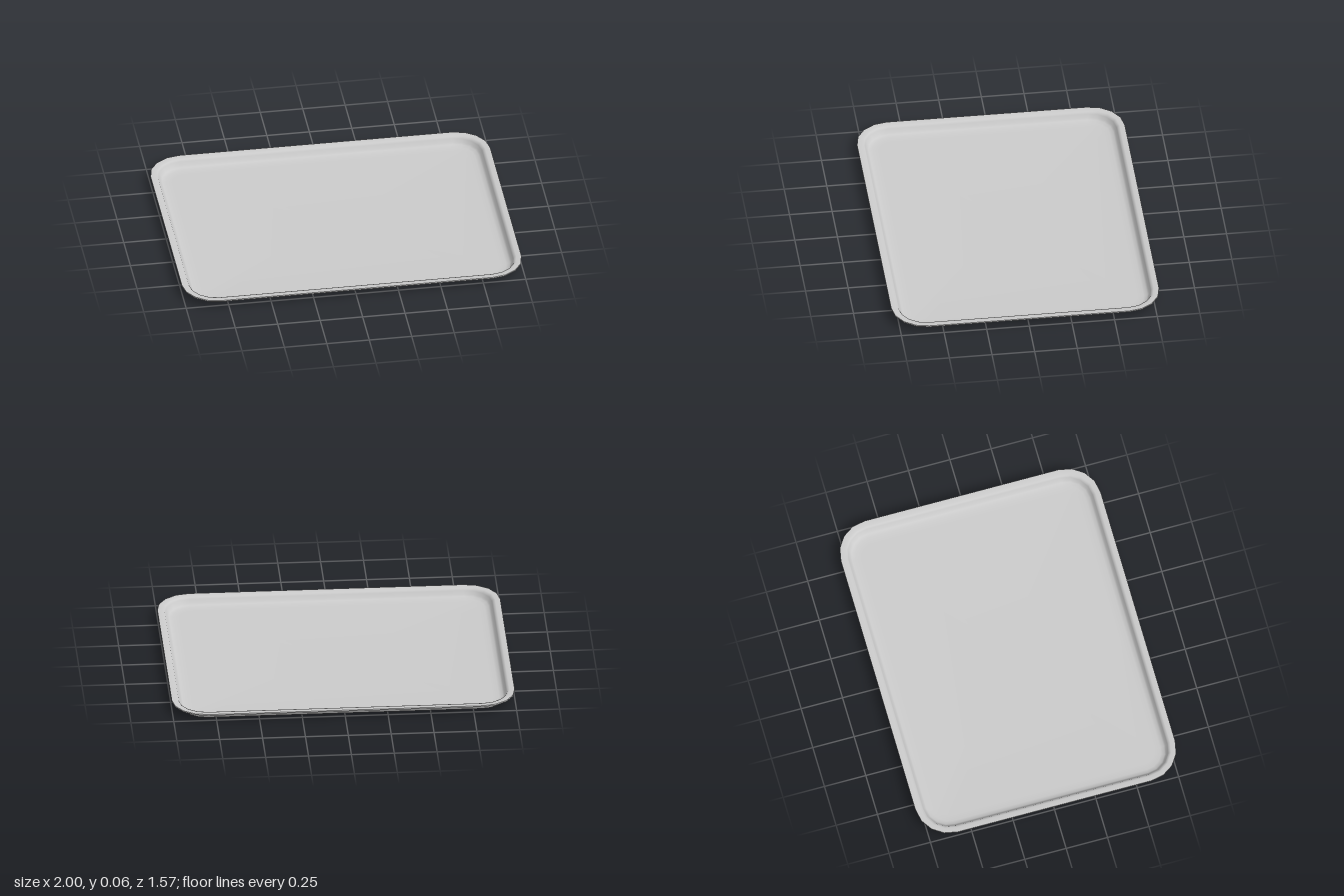
import * as THREE from 'three';
import { toCreasedNormals } from 'three/addons/utils/BufferGeometryUtils.js';

const HALF_X = 1, HALF_Z = 0.785, RADIUS = 0.2, CORNER_STEPS = 4;

// Rounded rectangle at height y, inset from the rim outline
function ring(inset, y) {
  const points = [];
  for (let corner = 0; corner < 4; corner++) {
    const sx = corner === 0 || corner === 3 ? 1 : -1;
    const sz = corner < 2 ? -1 : 1;
    for (let i = 0; i <= CORNER_STEPS; i++) {
      const a = (corner + i / CORNER_STEPS) * Math.PI / 2;
      points.push([
        sx * (HALF_X - RADIUS) + (RADIUS - inset) * Math.cos(a),
        y,
        sz * (HALF_Z - RADIUS) - (RADIUS - inset) * Math.sin(a),
      ]);
    }
  }
  return points;
}

// Joins the rings of an [inset, y] profile and closes both ends with flat panels
function sweptShell(profile) {
  const rings = profile.map(([inset, y]) => ring(inset, y));
  const n = rings[0].length;
  const centre = y => Array.from({ length: n }, () => [0, y, 0]);
  rings.unshift(centre(profile[0][1]));
  rings.push(centre(profile[profile.length - 1][1]));
  const pos = [];
  for (let i = 0; i < rings.length - 1; i++) {
    for (let j = 0; j < n; j++) {
      const k = (j + 1) % n;
      const a = rings[i][j], b = rings[i][k], c = rings[i + 1][k], d = rings[i + 1][j];
      if (i > 0) pos.push(...a, ...b, ...c);
      if (i < rings.length - 2) pos.push(...a, ...c, ...d);
    }
  }
  const geometry = new THREE.BufferGeometry();
  geometry.setAttribute('position', new THREE.Float32BufferAttribute(pos, 3));
  return toCreasedNormals(geometry, 0.85);
}

export function createModel() {
  const group = new THREE.Group();
  group.name = 'servingTray';

  const profile = [
    // underside, from the base out to the rim
    [0.13, 0], [0.085, 0.001], [0.066, 0.004], [0.06, 0.014],
    [0.052, 0.031], [0.046, 0.041], [0.036, 0.047],
    // rim edge
    [0, 0.048], [0, 0.056],
    // inside, from the rim down to the floor
    [0.03, 0.056], [0.041, 0.052], [0.048, 0.041],
    [0.058, 0.023], [0.068, 0.013], [0.09, 0.008], [0.13, 0.006],
  ];
  const tray = new THREE.Mesh(
    sweptShell(profile),
    new THREE.MeshStandardMaterial({ color: 0xcccccc }),
  );
  tray.name = 'tray';
  group.add(tray);
  return group;
}
